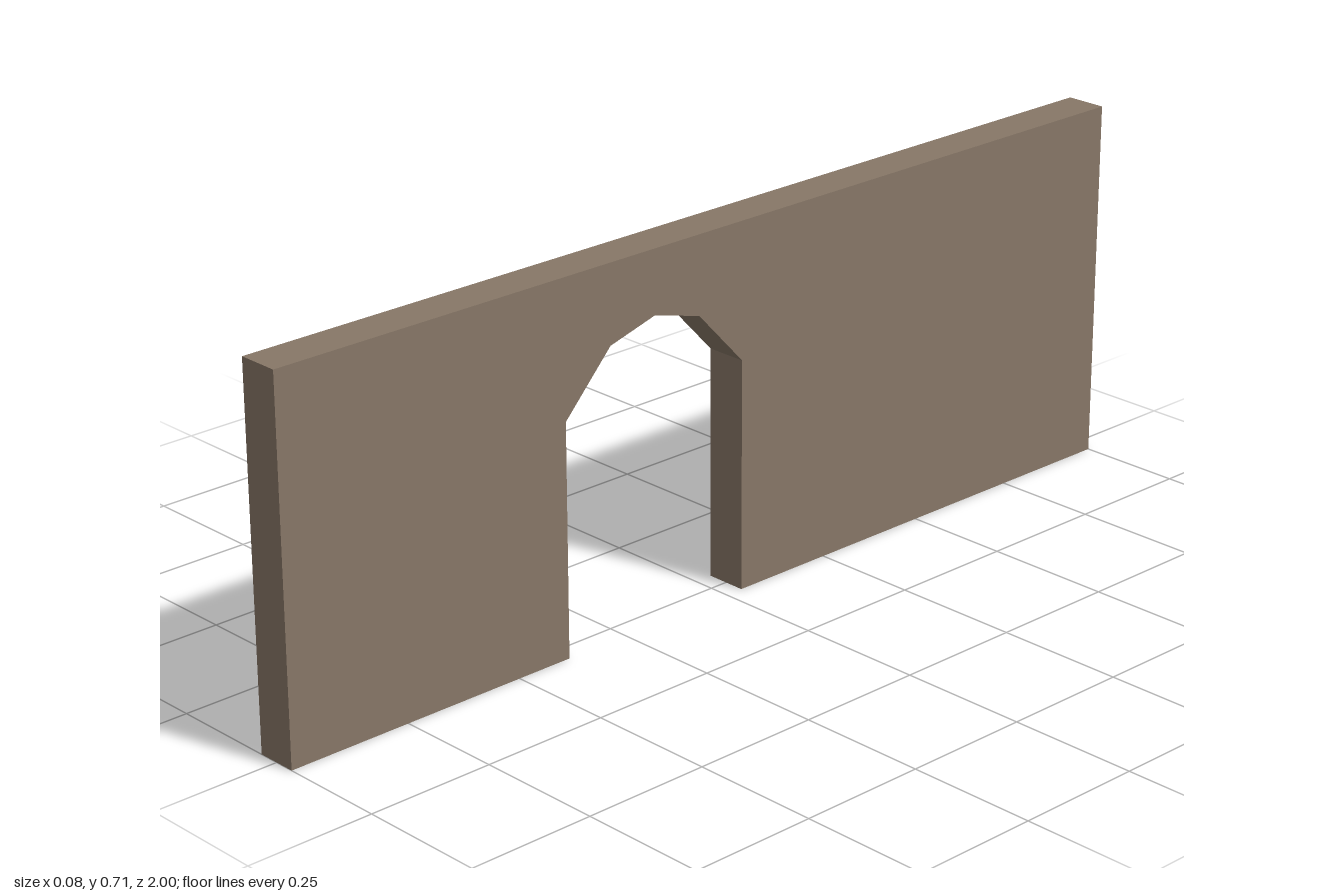
import * as THREE from 'three';

const LENGTH = 2, HEIGHT = 0.713, THICKNESS = 0.081;

export function createModel() {
  const group = new THREE.Group();
  group.name = 'archwayWall';

  const stone = new THREE.MeshStandardMaterial({ color: 0x877767 });
  stone.name = 'brown stone';

  // Wall outline, running along its length, with a faceted doorway arch cut up from the ground
  const doorway = [
    [-0.037, 0], [-0.037, 0.449], [0.068, 0.561], [0.174, 0.59],
    [0.279, 0.561], [0.384, 0.449], [0.384, 0],
  ];
  const outline = [
    [-LENGTH / 2, 0], ...doorway, [LENGTH / 2, 0],
    [LENGTH / 2, HEIGHT], [-LENGTH / 2, HEIGHT],
  ];
  const shape = new THREE.Shape(outline.map(([z, y]) => new THREE.Vector2(z, y)));

  // Extrude the thickness, then turn the length onto the z axis
  const geometry = new THREE.ExtrudeGeometry(shape, { depth: THICKNESS, bevelEnabled: false });
  geometry.translate(0, 0, -THICKNESS / 2);
  geometry.rotateY(-Math.PI / 2);

  const wall = new THREE.Mesh(geometry, stone);
  wall.name = 'wall';
  group.add(wall);
  return group;
}
